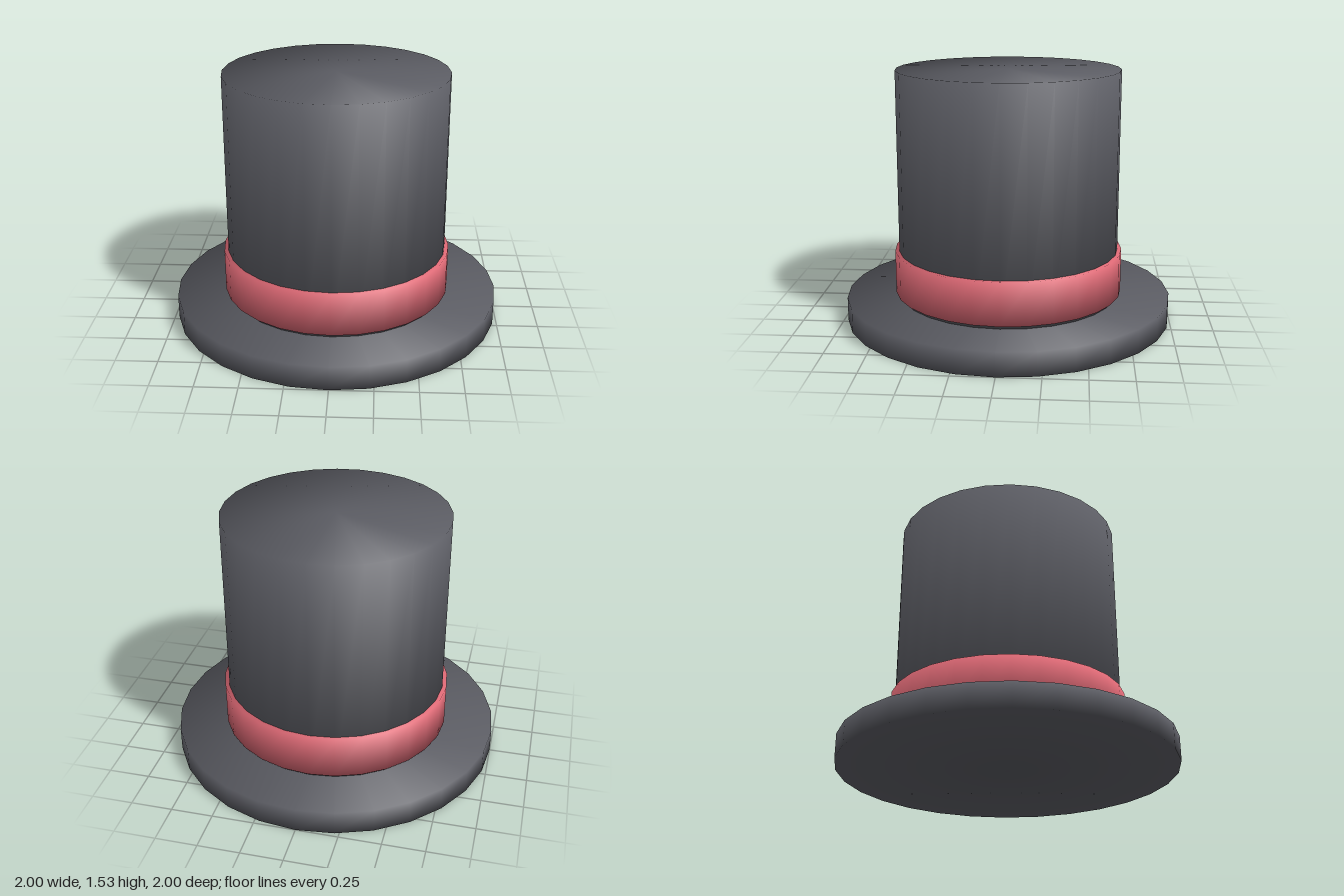
import * as THREE from 'three';

const SIDES = 28;

// Closed drum whose normals lean 45 degrees at both rims, so side and caps shade as one soft surface
function drum(name, radius, bottom, top, material) {
  const height = top - bottom;
  const geometry = new THREE.CylinderGeometry(radius, radius, height, SIDES);
  const p = geometry.attributes.position;
  const n = geometry.attributes.normal;
  const k = Math.SQRT1_2;
  for (let i = 0; i < p.count; i++) {
    n.setXYZ(i, (k * p.getX(i)) / radius, k * Math.sign(p.getY(i)), (k * p.getZ(i)) / radius);
  }
  const mesh = new THREE.Mesh(geometry, material);
  mesh.name = name;
  mesh.position.y = bottom + height / 2;
  return mesh;
}

export function createModel() {
  const felt = new THREE.MeshStandardMaterial({ color: 0x5b5c63 });
  felt.name = 'charcoal felt';
  const ribbon = new THREE.MeshStandardMaterial({ color: 0xdc6874 });
  ribbon.name = 'red ribbon';

  const hat = new THREE.Group();
  hat.name = 'topHat';
  hat.add(
    drum('brim', 1, 0, 0.145, felt),
    drum('crown', 0.675, 0.14, 1.535, felt),
    drum('hatBand', 0.7, 0.168, 0.43, ribbon),
  );
  return hat;
}
